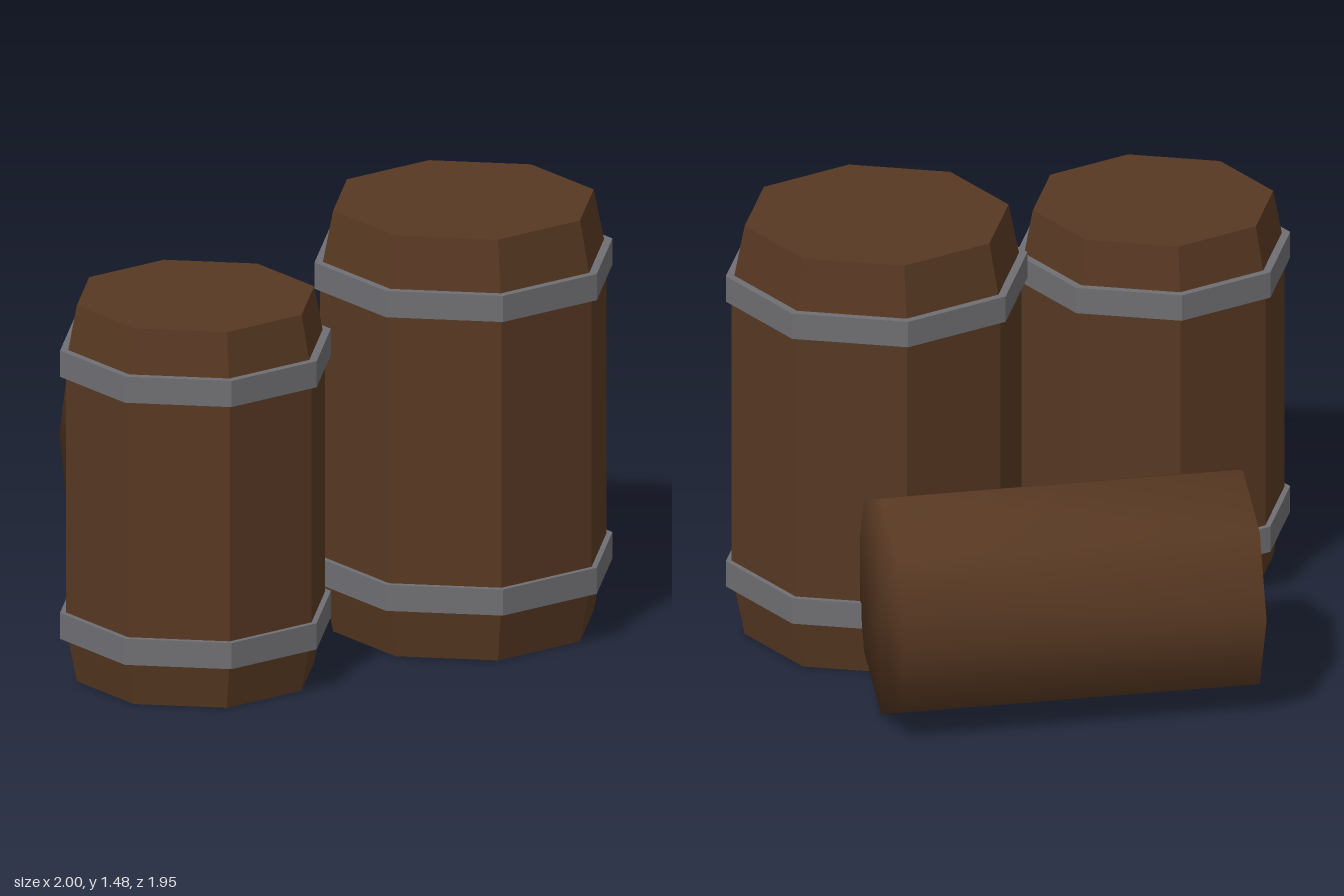
import * as THREE from 'three';
import { mergeVertices } from 'three/addons/utils/BufferGeometryUtils.js';

const SIDES = 8;

export function createModel() {
  const wood = new THREE.MeshStandardMaterial({ color: 0x573822 });
  wood.name = 'brown wood';
  const iron = new THREE.MeshStandardMaterial({ color: 0x6f6e72 });
  iron.name = 'grey iron';

  // Faceted solid of revolution from [radius, y] points, listed bottom to top
  const turned = (points, material, name) => {
    const profile = points.map(([r, y]) => new THREE.Vector2(r, y));
    const geometry = new THREE.LatheGeometry(profile, SIDES).toNonIndexed();
    geometry.computeVertexNormals();
    const mesh = new THREE.Mesh(geometry, material);
    mesh.name = name;
    return mesh;
  };

  // Upright barrel: tapered ends, straight middle and two hoops
  const uprightBarrel = (name, x, z, height, radius, endRadius, hoopY) => {
    const barrel = new THREE.Group();
    barrel.name = name;
    barrel.add(turned([
      [0, 0], [endRadius, 0], [radius, hoopY],
      [radius, height - hoopY], [endRadius, height], [0, height],
    ], wood, 'staves'));
    const outer = radius + 0.02, inner = radius - 0.02, half = 0.046;
    for (const [label, y] of [['lowerHoop', hoopY], ['upperHoop', height - hoopY]]) {
      barrel.add(turned([
        [inner, y - half], [outer, y - half], [outer, y + half],
        [inner, y + half], [inner, y - half],
      ], iron, label));
    }
    barrel.position.set(x, 0, z);
    return barrel;
  };

  // Lying barrel: plain octagonal prism with softly blended shading
  const lyingGeometry = new THREE.CylinderGeometry(0.39, 0.39, 1.24, SIDES);
  lyingGeometry.deleteAttribute('normal');
  lyingGeometry.deleteAttribute('uv');
  const smooth = mergeVertices(lyingGeometry, 0.001);
  smooth.computeVertexNormals();
  const lying = new THREE.Mesh(smooth, wood);
  lying.name = 'lyingBarrel';
  lying.rotation.z = Math.PI / 2;
  lying.position.set(0.01, 0.39, -0.587);

  const model = new THREE.Group();
  model.name = 'barrels';
  model.add(
    uprightBarrel('shortBarrel', -0.53, 0.5, 1.323, 0.45, 0.412, 0.2),
    uprightBarrel('tallBarrel', 0.482, 0.19, 1.482, 0.497, 0.452, 0.224),
    lying,
  );
  return model;
}
